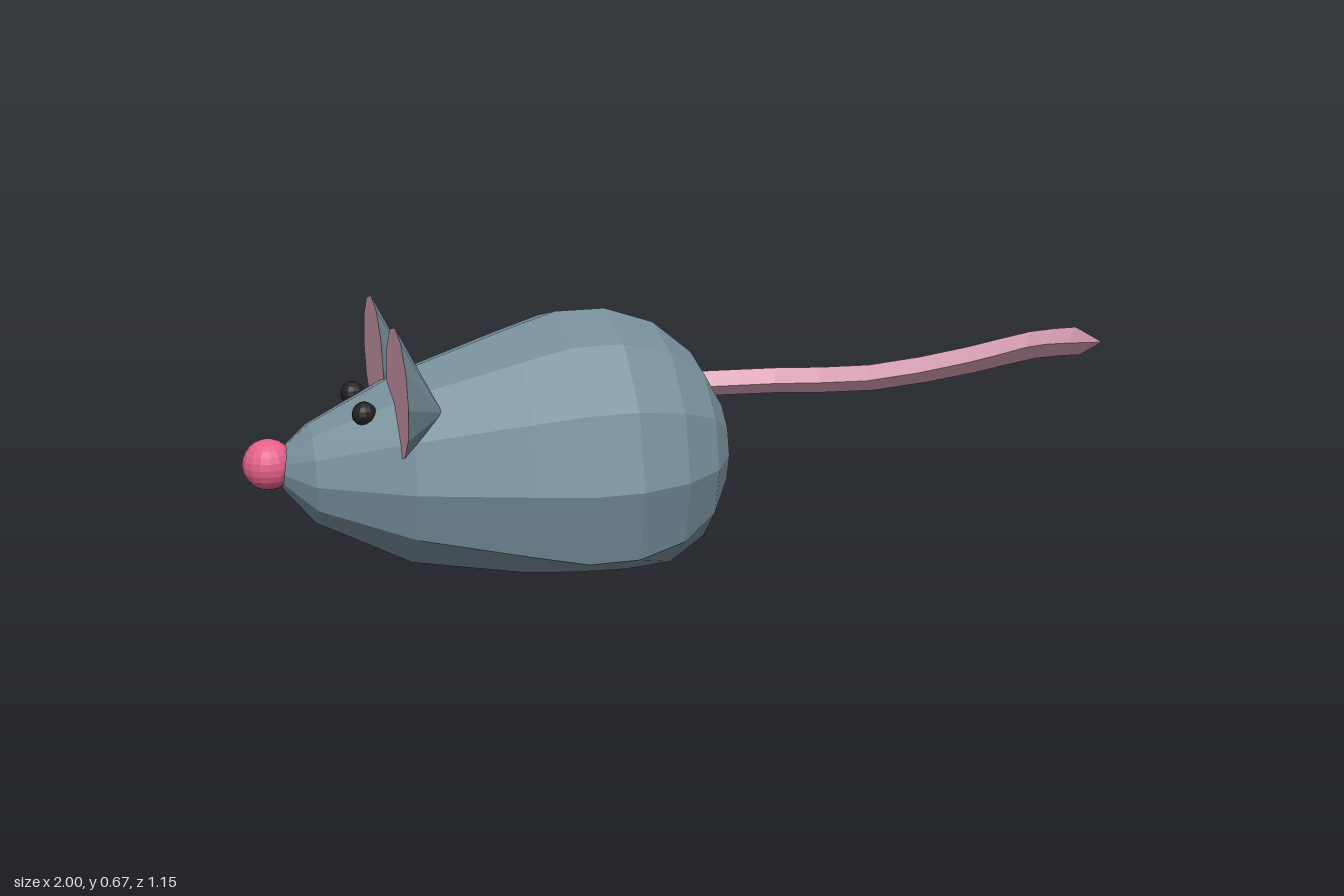
import * as THREE from 'three';

const V = (x, y, z) => new THREE.Vector3(x, y, z);
const MID_Z = -0.19;
const paint = (color) => new THREE.MeshStandardMaterial({ color, flatShading: true });

// Faceted skin through rings of equal point count, each wound around the travel direction
function loft(rings) {
  const pos = [];
  const tri = (a, b, c) => {
    if (a.distanceTo(b) < 1e-6 || b.distanceTo(c) < 1e-6 || a.distanceTo(c) < 1e-6) return;
    for (const p of [a, b, c]) pos.push(p.x, p.y, p.z);
  };
  for (let i = 0; i < rings.length - 1; i++) {
    const n = rings[i].length;
    for (let k = 0; k < n; k++) {
      const m = (k + 1) % n;
      tri(rings[i][k], rings[i][m], rings[i + 1][m]);
      tri(rings[i][k], rings[i + 1][m], rings[i + 1][k]);
    }
  }
  const geo = new THREE.BufferGeometry();
  geo.setAttribute('position', new THREE.Float32BufferAttribute(pos, 3));
  geo.computeVertexNormals();
  return geo;
}

// 12-sided ring in a plane of constant x, with its underside flattened at floor
function ringX(x, y, z, r, floor = 0) {
  return Array.from({ length: 12 }, (_, k) => {
    const a = (k / 12) * Math.PI * 2;
    return V(x, Math.max(floor, y + r * Math.cos(a)), z + r * Math.sin(a));
  });
}

export function createModel() {
  const model = new THREE.Group();
  const grey = paint(0x78909c);
  const pink = paint(0xdda3b8);
  const rose = paint(0xe5608a);
  const black = paint(0x212121);
  const add = (name, geo, mat, parent = model) => {
    const mesh = new THREE.Mesh(geo, mat);
    mesh.name = name;
    parent.add(mesh);
    return mesh;
  };

  // Body: x, radius, floor height, centre height
  const body = [
    [-0.92, 0, 0, 0.28], [-0.9, 0.055, 0, 0.285], [-0.83, 0.13, 0.15, 0.27],
    [-0.6, 0.25, 0.05, 0.265], [-0.32, 0.343, 0.01, 0.265], [-0.19, 0.383, 0.005, 0.265],
    [-0.06, 0.383, 0, 0.265], [0.07, 0.338, 0, 0.265], [0.175, 0.25, 0, 0.265],
    [0.24, 0.135, 0, 0.265], [0.265, 0, 0, 0.265],
  ];
  add('body', loft(body.map(([x, r, floor, y]) => ringX(x, y, MID_Z, r, floor))), grey);

  // Nose
  add('nose', new THREE.SphereGeometry(0.065, 16, 12), rose).position.set(-0.935, 0.302, MID_Z);

  // Eyes and ears on both sides of the head
  for (const [side, s] of [['left', 1], ['right', -1]]) {
    add(side + 'Eye', new THREE.SphereGeometry(0.031, 12, 8), black)
      .position.set(-0.702, 0.44, MID_Z - 0.01 + s * 0.103);

    const ear = new THREE.Group();
    ear.name = side + 'Ear';
    const z = MID_Z - 0.02 + s * 0.19;
    const rim = ringX(-0.63, 0.507, z, 0.165);
    const tip = Array(12).fill(V(-0.52, 0.45, z + 0.005));
    const centre = Array(12).fill(V(-0.63, 0.507, z));
    add('earBack', loft([rim, tip]), grey, ear);
    add('earInside', loft([centre, rim]), pink, ear);
    model.add(ear);
  }

  // Tail: diamond section swept along a curve, ending in a point
  const path = new THREE.CatmullRomCurve3([
    V(0.215, 0.42, -0.215), V(0.4, 0.433, -0.145), V(0.6, 0.467, 0.02),
    V(0.8, 0.542, 0.19), V(0.91, 0.6, 0.305), V(0.962, 0.637, 0.435),
  ]);
  const steps = 10;
  const rings = [Array(4).fill(path.getPoint(0))];
  for (let i = 0; i <= steps; i++) {
    const p = path.getPoint(i / steps);
    const t = path.getTangent(i / steps);
    const across = t.clone().cross(V(0, 1, 0)).normalize();
    const up = across.clone().cross(t);
    rings.push([[1, 0], [0, 1], [-1, 0], [0, -1]].map(([u, v]) =>
      p.clone().addScaledVector(up, u * 0.034).addScaledVector(across, v * 0.036)));
  }
  rings.push(Array(4).fill(V(0.95, 0.667, 0.573)));
  add('tail', loft(rings), pink);

  return model;
}
